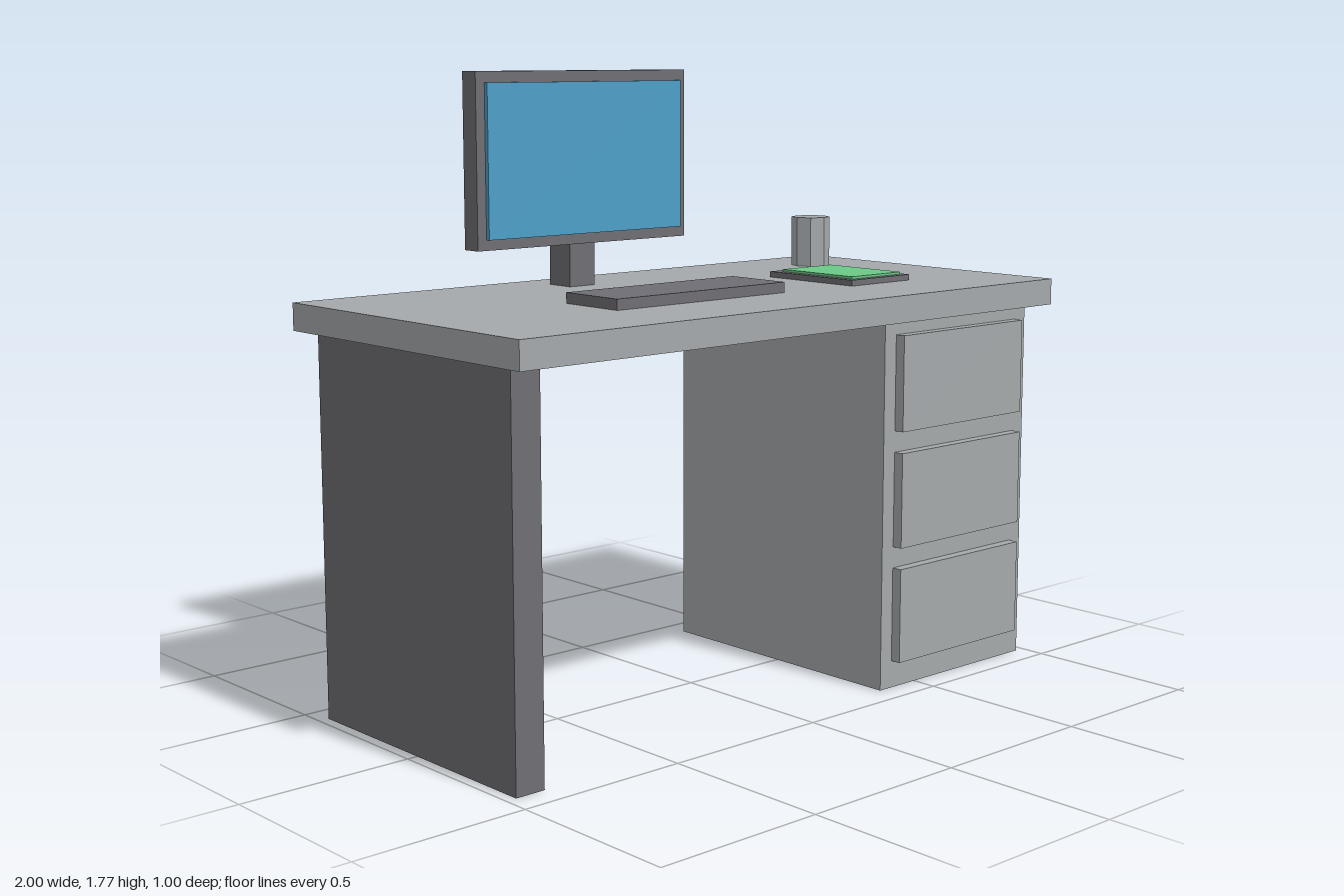
import * as THREE from 'three';

const mat = (name, color) => {
  const m = new THREE.MeshStandardMaterial({ color });
  m.name = name;
  return m;
};

export function createModel() {
  const desk = new THREE.Group();
  desk.name = 'desk';
  const lightGrey = mat('light grey', 0xa5a9ab);
  const darkGrey = mat('dark grey', 0x6e6e74);
  const blue = mat('screen blue', 0x4d9fc9);
  const green = mat('pad green', 0x6cc988);

  // Box given by its extents on each axis
  const box = (name, material, [x0, x1], [y0, y1], [z0, z1], parent = desk) => {
    const mesh = new THREE.Mesh(new THREE.BoxGeometry(x1 - x0, y1 - y0, z1 - z0), material);
    mesh.position.set((x0 + x1) / 2, (y0 + y1) / 2, (z0 + z1) / 2);
    mesh.name = name;
    parent.add(mesh);
  };
  const group = (name) => {
    const g = new THREE.Group();
    g.name = name;
    desk.add(g);
    return g;
  };
  const top = 1.157, under = 1.08;

  // Table top and side panel
  box('tableTop', lightGrey, [-1, 1], [under, top], [-0.5, 0.5]);
  box('sidePanel', darkGrey, [-0.97, -0.88], [0, under], [-0.425, 0.425]);

  // Cabinet with three drawers
  const cabinet = group('cabinet');
  box('cabinetBody', lightGrey, [0.354, 0.97], [0, under], [-0.425, 0.425], cabinet);
  for (let i = 0; i < 3; i++) {
    const y = 0.08 + i * 0.339;
    box('drawerFront', lightGrey, [0.4, 0.922], [y, y + 0.277], [0.425, 0.456], cabinet);
  }

  // Monitor
  const monitor = group('monitor');
  box('monitorStand', darkGrey, [-0.205, -0.113], [top, 1.281], [-0.384, -0.292], monitor);
  box('monitorCase', darkGrey, [-0.54, 0.227], [1.281, 1.774], [-0.34, -0.28], monitor);
  box('monitorScreen', blue, [-0.51, 0.2], [1.311, 1.743], [-0.28, -0.267], monitor);

  // Keyboard
  box('keyboard', darkGrey, [-0.465, 0.152], [top, 1.187], [0.013, 0.225]);

  // Writing pad
  const pad = group('pad');
  box('padBase', darkGrey, [0.411, 0.657], [top, 1.174], [-0.098, 0.24], pad);
  box('padSurface', green, [0.434, 0.64], [1.174, 1.181], [-0.068, 0.218], pad);

  // Eight-sided cup
  const cupGeometry = new THREE.CylinderGeometry(0.06, 0.06, 0.153, 8).toNonIndexed();
  cupGeometry.computeVertexNormals();
  const cup = new THREE.Mesh(cupGeometry, lightGrey);
  cup.position.set(0.767, top + 0.0765, -0.28);
  cup.name = 'cup';
  desk.add(cup);

  return desk;
}
